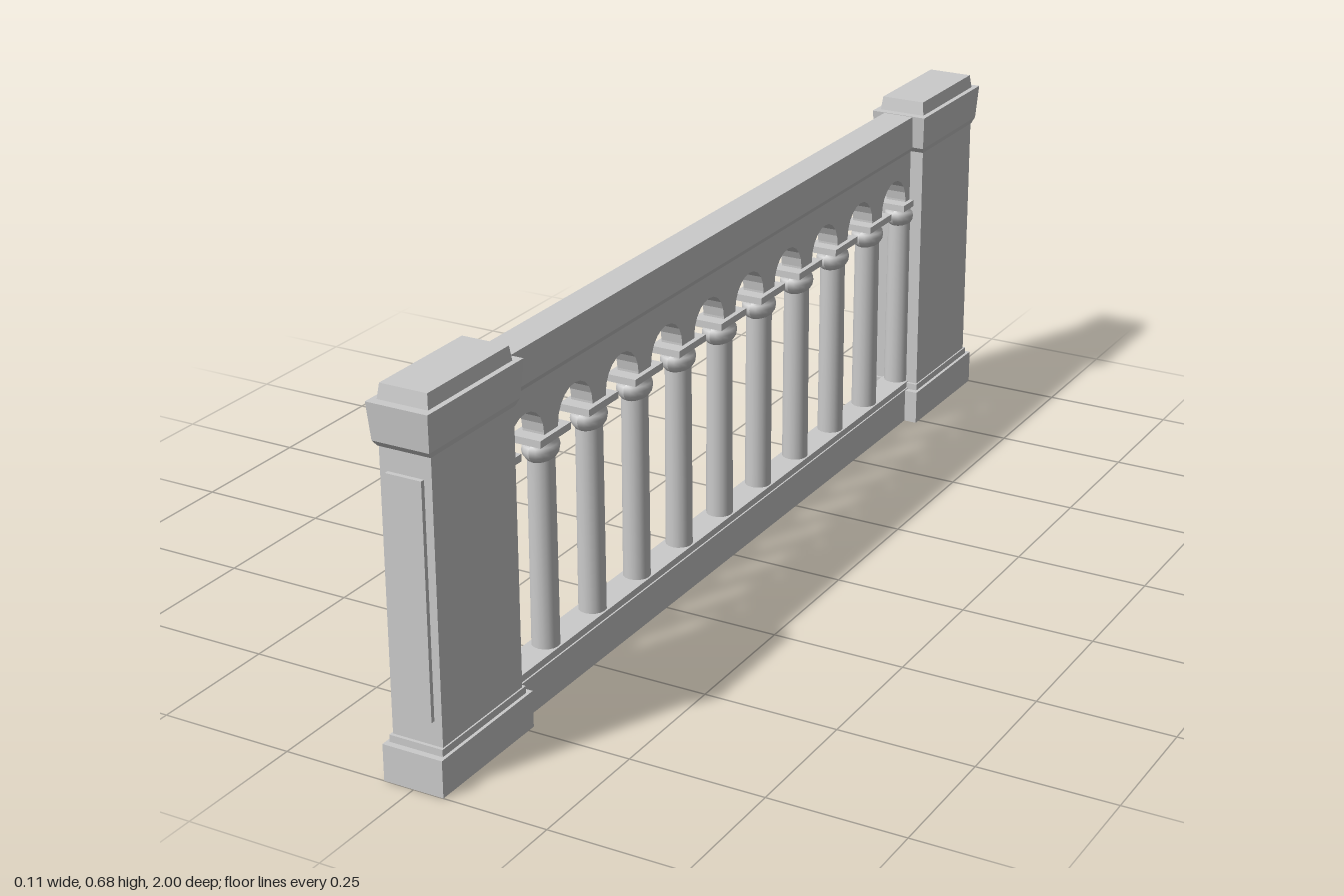
import * as THREE from 'three';

const stone = new THREE.MeshStandardMaterial({ color: 0xcccccc });
const hollowStone = new THREE.MeshStandardMaterial({ color: 0xcccccc, side: THREE.DoubleSide });

const SPACING = 0.151; // distance between columns
const POST_Z = 0.8675; // centre of each end post
const RAIL_END = 0.765; // rails run slightly into the posts

function add(parent, name, geometry, x = 0, y = 0, z = 0, material = stone) {
  const mesh = new THREE.Mesh(geometry, material);
  mesh.name = name;
  mesh.position.set(x, y, z);
  parent.add(mesh);
  return mesh;
}

// Stack of rectangular rings [y, half width, half depth], closed on top, optionally below
function rectLoft(rings, closedBottom) {
  const corner = ([y, hx, hz], i) => [
    [-hx, y, hz], [hx, y, hz], [hx, y, -hz], [-hx, y, -hz],
  ][i % 4];
  const pos = [];
  const quad = (a, b, c, d) => pos.push(...a, ...b, ...c, ...a, ...c, ...d);
  for (let r = 0; r < rings.length - 1; r++) {
    for (let i = 0; i < 4; i++) {
      quad(corner(rings[r], i), corner(rings[r], i + 1), corner(rings[r + 1], i + 1), corner(rings[r + 1], i));
    }
  }
  const top = rings[rings.length - 1];
  quad(corner(top, 0), corner(top, 1), corner(top, 2), corner(top, 3));
  if (closedBottom) quad(corner(rings[0], 3), corner(rings[0], 2), corner(rings[0], 1), corner(rings[0], 0));
  const g = new THREE.BufferGeometry();
  g.setAttribute('position', new THREE.Float32BufferAttribute(pos, 3));
  g.computeVertexNormals();
  return g;
}

// End post: hollow base, shaft, flared cap and raised panels
function createPost(side) {
  const post = new THREE.Group();
  post.name = side > 0 ? 'frontPost' : 'backPost';
  post.position.z = side * POST_Z;
  add(post, 'postBody', rectLoft([
    [0, 0.057, 0.1325], [0.067, 0.057, 0.1325],
    [0.067, 0.051, 0.121], [0.08, 0.051, 0.121],
    [0.08, 0.048, 0.115], [0.58, 0.048, 0.115],
    [0.58, 0.049, 0.117], [0.591, 0.053, 0.126],
    [0.657, 0.057, 0.1325], [0.657, 0.047, 0.116],
    [0.683, 0.044, 0.112],
  ], false), 0, 0, 0, hollowStone);
  add(post, 'endPanel', new THREE.BoxGeometry(0.067, 0.416, 0.02), 0, 0.332, side * 0.113);
  add(post, 'sidePanel', new THREE.BoxGeometry(0.02, 0.416, 0.178), -0.042, 0.332, 0);
  return post;
}

// Wall of round arches between the column heads and the top rail
function archWall() {
  const bottom = 0.476, radius = 0.054, thickness = 0.042;
  const shape = new THREE.Shape();
  shape.moveTo(-RAIL_END, 0.585);
  shape.lineTo(-RAIL_END, bottom);
  for (let i = 0; i < 10; i++) {
    const z = (i - 4.5) * SPACING;
    shape.lineTo(z - radius, bottom);
    for (let k = 0; k <= 10; k++) {
      const a = Math.PI * (1 - k / 10);
      shape.lineTo(z + radius * Math.cos(a), bottom + 0.005 + radius * Math.sin(a));
    }
    shape.lineTo(z + radius, bottom);
  }
  shape.lineTo(RAIL_END, bottom);
  shape.lineTo(RAIL_END, 0.585);
  const g = new THREE.ExtrudeGeometry(shape, { depth: thickness, bevelEnabled: false });
  g.translate(0, 0, -thickness / 2);
  g.rotateY(-Math.PI / 2);
  return g;
}

// Round column with a cushion head and a square slab on top
const shaftGeometry = new THREE.CylinderGeometry(0.024, 0.025, 0.36, 16, 1, true);
const cushionGeometry = new THREE.LatheGeometry([
  [0.024, 0.424], [0.029, 0.427], [0.036, 0.436], [0.038, 0.445],
  [0.036, 0.453], [0.03, 0.456], [0.03, 0.467],
].map(([r, y]) => new THREE.Vector2(r, y)), 16);
cushionGeometry.scale(0.8, 1, 1);
cushionGeometry.computeVertexNormals();
const slabGeometry = new THREE.BoxGeometry(0.06, 0.013, 0.094);

function createColumn(z) {
  const column = new THREE.Group();
  column.name = 'column';
  column.position.z = z;
  add(column, 'columnShaft', shaftGeometry, 0, 0.255, 0);
  add(column, 'columnCushion', cushionGeometry);
  add(column, 'columnSlab', slabGeometry, 0, 0.4705, 0);
  return column;
}

export function createModel() {
  const model = new THREE.Group();
  model.name = 'balustrade';

  for (const side of [1, -1]) model.add(createPost(side));

  // Rails
  add(model, 'bottomRail', rectLoft([
    [0, 0.031, RAIL_END], [0.069, 0.031, RAIL_END],
    [0.069, 0.028, RAIL_END], [0.082, 0.028, RAIL_END],
  ], true));
  add(model, 'topRail', rectLoft([
    [0.58, 0.024, RAIL_END], [0.591, 0.03, RAIL_END], [0.656, 0.031, RAIL_END],
  ], true));
  add(model, 'archWall', archWall());

  // Columns, the outermost pair half sunk into the posts
  for (let i = -5; i <= 5; i++) model.add(createColumn(i * SPACING));

  return model;
}
